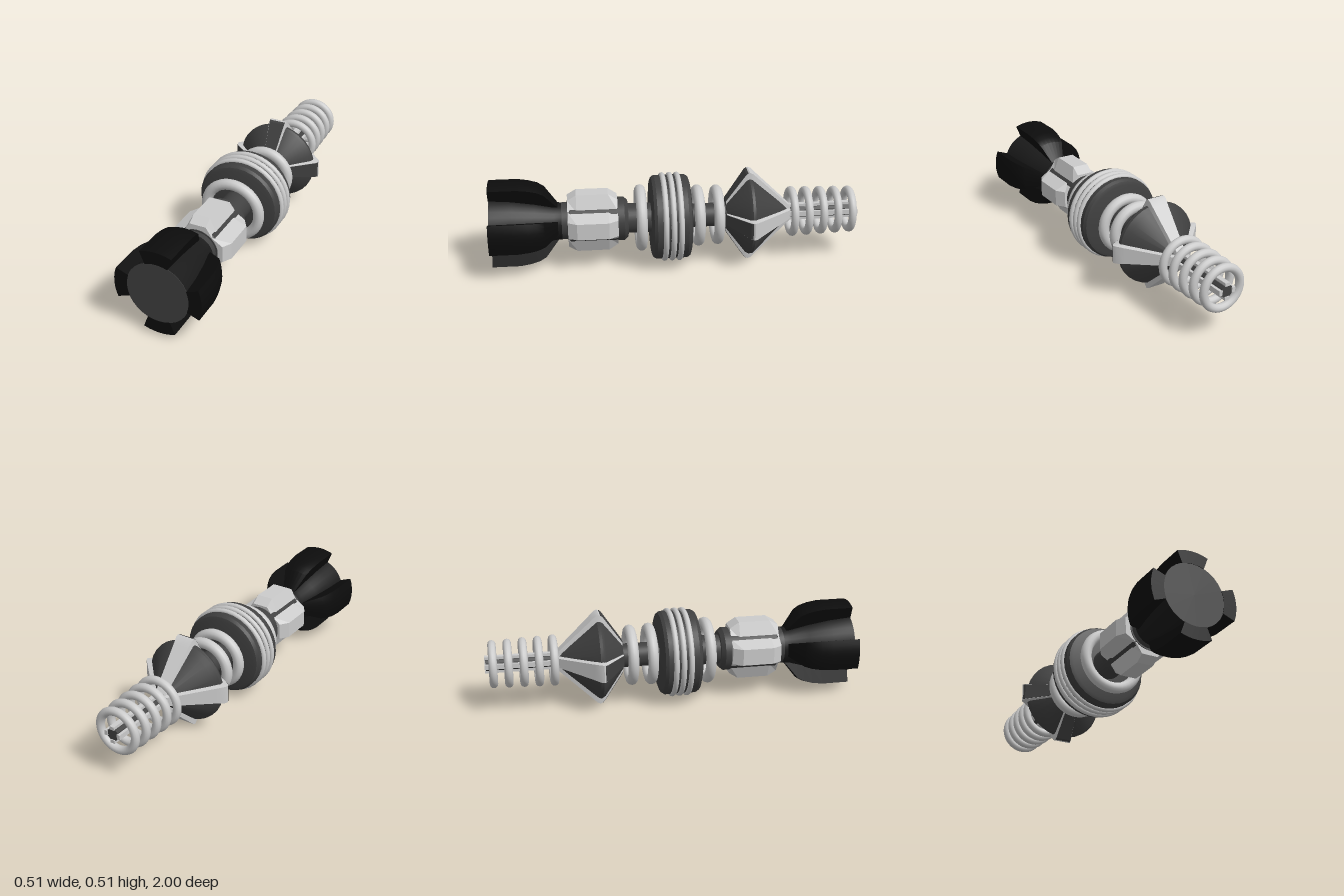
import * as THREE from 'three';
import { toCreasedNormals } from 'three/addons/utils/BufferGeometryUtils.js';

const grey = new THREE.MeshStandardMaterial({ color: 0xcccccc });
const dark = new THREE.MeshStandardMaterial({ color: 0x404040 });
const soot = new THREE.MeshStandardMaterial({ color: 0x1a1a1a });
const black = new THREE.MeshStandardMaterial({ color: 0x0c0c0c });

function mesh(name, geometry, material, crease = 0.5) {
  const m = new THREE.Mesh(toCreasedNormals(geometry, crease), material);
  m.name = name;
  return m;
}

// Solid of revolution about z from [radius, z] pairs, z increasing
function turned(name, profile, material, segments = 32) {
  const g = new THREE.LatheGeometry(profile.map(([r, z]) => new THREE.Vector2(r, z)), segments);
  g.rotateX(Math.PI / 2);
  return mesh(name, g, material);
}

function ring(name, z, outer, tube) {
  const m = new THREE.Mesh(new THREE.TorusGeometry(outer - tube, tube, 12, 40), grey);
  m.name = name;
  m.position.z = z;
  return m;
}

// Capped loft through counterclockwise sections [{ z, pts }], z increasing
function loft(sections) {
  const pos = [];
  const n = sections[0].pts.length;
  const put = (s, j) => pos.push(...s.pts[j % n], s.z);
  for (let i = 0; i < sections.length - 1; i++) {
    const a = sections[i], b = sections[i + 1];
    for (let j = 0; j < n; j++) {
      put(a, j); put(a, j + 1); put(b, j + 1);
      put(a, j); put(b, j + 1); put(b, j);
    }
  }
  // Caps are strips joining mirrored halves of each section
  const first = sections[0], last = sections[sections.length - 1];
  for (let j = 0; j < n / 2 - 1; j++) {
    const k = n - 1 - j;
    for (const t of [[j, j + 1, k - 1], [j, k - 1, k]]) {
      t.forEach((q) => put(last, q));
      [t[0], t[2], t[1]].forEach((q) => put(first, q));
    }
  }
  const g = new THREE.BufferGeometry();
  g.setAttribute('position', new THREE.Float32BufferAttribute(pos, 3));
  return g;
}

// Trapezoid bar above the axis: [z, inner radius, outer radius, inner half width, outer half width]
const bar = (rows) => loft(rows.map(([z, ri, ro, wi, wo]) => ({
  z, pts: [[-wi, ri], [wi, ri], [wo, ro], [-wo, ro]],
})));

// Ring sector above the axis: [z, inner radius, outer radius]
const sector = (rows, half, steps = 6) => loft(rows.map(([z, ri, ro]) => {
  const pts = [];
  for (let i = 0; i <= steps; i++) {
    const a = half * (2 * i / steps - 1);
    pts.push([Math.sin(a) * ri, Math.cos(a) * ri]);
  }
  for (let i = steps; i >= 0; i--) {
    const a = half * (2 * i / steps - 1);
    pts.push([Math.sin(a) * ro, Math.cos(a) * ro]);
  }
  return { z, pts };
}));

// Four copies at quarter turns about the axis
function fourfold(name, geometry, material, crease) {
  const g = new THREE.Group();
  g.name = name + 's';
  const part = mesh(name, geometry, material, crease);
  for (let k = 0; k < 4; k++) {
    const copy = part.clone();
    copy.rotation.z = k * Math.PI / 2;
    g.add(copy);
  }
  return g;
}

export function createModel() {
  const model = new THREE.Group();
  model.name = 'handle';
  model.position.y = 0.255;

  // Pommel with flared grips
  model.add(
    turned('pommelCore', [[0.1, 0.62], [0.102, 0.66], [0.13, 0.76], [0.155, 0.88], [0.168, 0.998]], soot),
    turned('pommelFace', [[0.168, 0.996], [0.168, 0.998], [0, 0.998]], dark),
    fourfold('pommelGrip', sector([
      [0.64, 0.08, 0.102], [0.71, 0.1, 0.193], [0.745, 0.11, 0.213],
      [0.79, 0.125, 0.226], [0.85, 0.14, 0.235], [1, 0.166, 0.235],
    ], 0.37), black, 0.4),
  );

  // Shaft and grip body
  model.add(
    turned('shaft', [[0, -0.3], [0.064, -0.3], [0.064, -0.06], [0.08, -0.06], [0.08, 0.3], [0, 0.3]], dark),
    turned('rearNeck', [[0.1, 0.55], [0.1, 0.66]], dark),
    turned('gripBody', [[0, 0.265], [0.1, 0.265], [0.118, 0.285], [0.118, 0.575], [0.108, 0.59], [0, 0.59]], dark),
    fourfold('gripPad', bar([
      [0.32, 0.08, 0.13, 0.08, 0.045], [0.37, 0.08, 0.163, 0.08, 0.045],
      [0.54, 0.08, 0.163, 0.08, 0.045], [0.588, 0.08, 0.135, 0.08, 0.045],
    ]), grey, 0.1),
  );

  // Hub with its bands
  model.add(turned('hub', [
    [0, -0.07], [0.2, -0.07], [0.218, -0.064], [0.228, -0.048],
    [0.228, 0.118], [0.218, 0.134], [0.2, 0.14], [0, 0.14],
  ], dark));
  for (const z of [-0.008, 0.032, 0.073]) model.add(ring('hubBand', z, 0.242, 0.015));

  // Collar rings
  model.add(
    ring('rearCollar', 0.195, 0.181, 0.029),
    ring('middleCollar', -0.117, 0.168, 0.029),
    ring('frontCollar', -0.222, 0.164, 0.029),
  );

  // Double cone with ribs; the hub side of each rib has a dark cover
  model.add(
    turned('doubleCone', [
      [0, -0.62], [0.03, -0.62], [0.2, -0.43], [0.222, -0.405],
      [0.224, -0.39], [0.215, -0.375], [0.075, -0.268], [0, -0.268],
    ], dark),
    fourfold('coneRib', bar([
      [-0.625, 0, 0.042, 0.03, 0.024], [-0.44, 0.1, 0.218, 0.055, 0.044], [-0.41, 0.1, 0.247, 0.06, 0.048],
      [-0.393, 0.1, 0.254, 0.06, 0.048], [-0.375, 0.1, 0.243, 0.058, 0.046], [-0.268, 0.03, 0.085, 0.036, 0.03],
    ]), grey, 0.4),
    fourfold('ribCover', bar([
      [-0.385, 0.23, 0.252, 0.045, 0.045], [-0.374, 0.22, 0.245, 0.044, 0.044], [-0.266, 0.06, 0.087, 0.029, 0.029],
    ]), dark, 0.4),
  );

  // Emitter core, rails and coil rings
  model.add(
    turned('emitterCore', [[0, -0.995], [0.034, -0.995], [0.034, -0.6], [0, -0.6]], dark, 12),
    fourfold('emitterRail', bar([
      [-1, 0.028, 0.046, 0.013, 0.013], [-0.6, 0.028, 0.046, 0.013, 0.013],
    ]), grey, 0.1),
  );
  for (let i = 0; i < 5; i++) {
    model.add(ring('coilRing', -0.637 - i * 0.08, 0.138 - i * 0.0025, 0.022));
  }

  const root = new THREE.Group();
  root.name = 'model';
  root.add(model);
  return root;
}
